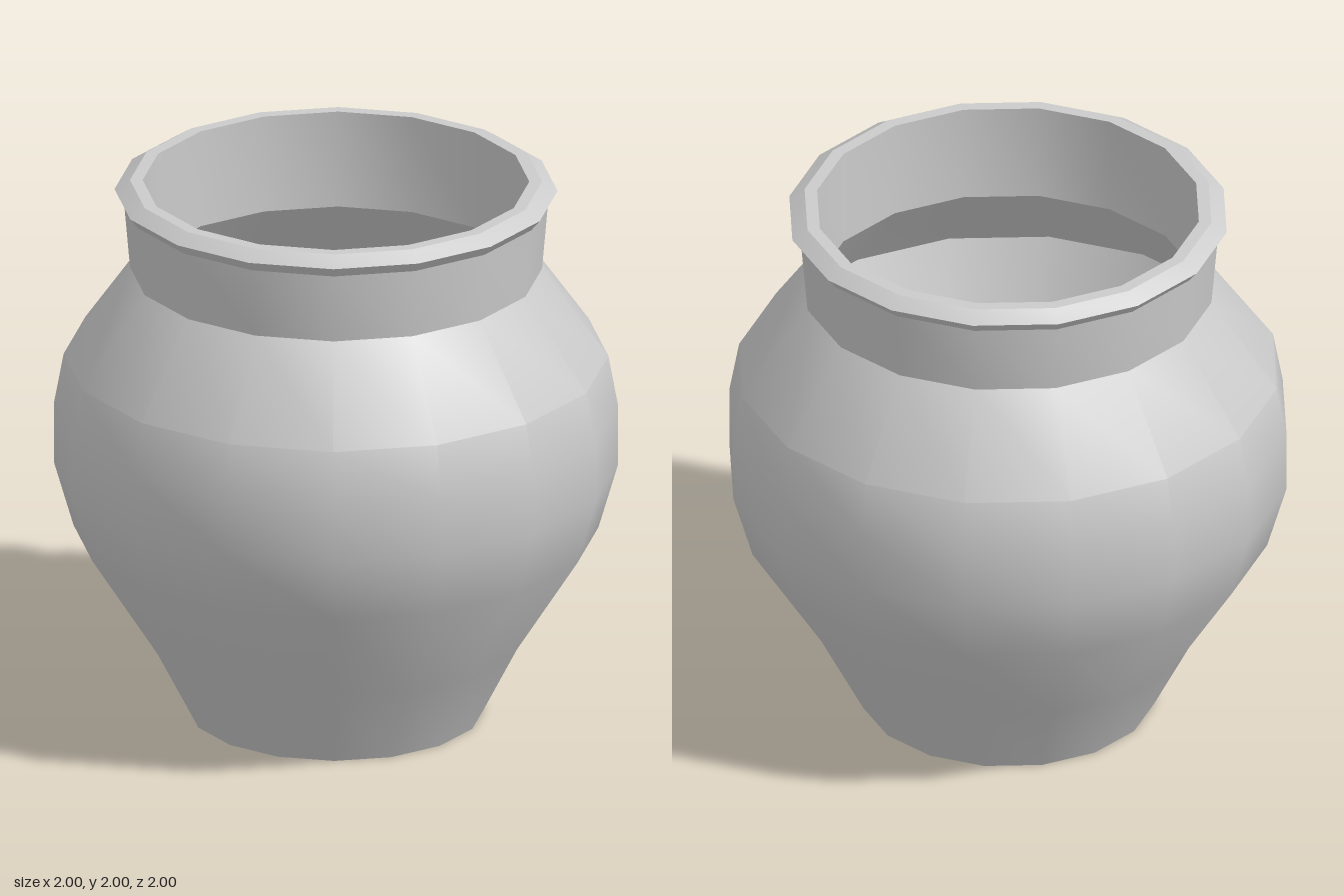
import * as THREE from 'three';
import { toCreasedNormals } from 'three/addons/utils/BufferGeometryUtils.js';

const SIDES = 16;

// Turned part from [radius, height] pairs, smooth except at sharp edges
function turned(name, profile, material) {
  const points = profile.map(([r, y]) => new THREE.Vector2(r, y));
  const geometry = toCreasedNormals(new THREE.LatheGeometry(points, SIDES), THREE.MathUtils.degToRad(30));
  const mesh = new THREE.Mesh(geometry, material);
  mesh.name = name;
  return mesh;
}

export function createModel() {
  const pot = new THREE.Group();
  pot.name = 'pot';
  const clay = new THREE.MeshStandardMaterial({ color: 0xcccccc });

  // Base and rounded belly up to the shoulder
  pot.add(turned('body', [
    [0, 0], [0.525, 0], [0.68, 0.3], [0.93, 0.69], [1, 0.93],
    [1, 1.15], [0.965, 1.34], [0.73, 1.67],
  ], clay));

  // Slightly flared neck with a bevelled lip
  pot.add(turned('neckAndLip', [
    [0.73, 1.67], [0.752, 1.925], [0.785, 1.965], [0.73, 2], [0.685, 2],
  ], clay));

  // Hollow inside: neck wall, underside of the shoulder, tapering wall, floor
  pot.add(turned('interior', [
    [0.685, 2], [0.685, 1.64], [0.91, 1.34], [0.425, 0.08], [0, 0.08],
  ], clay));

  return pot;
}
